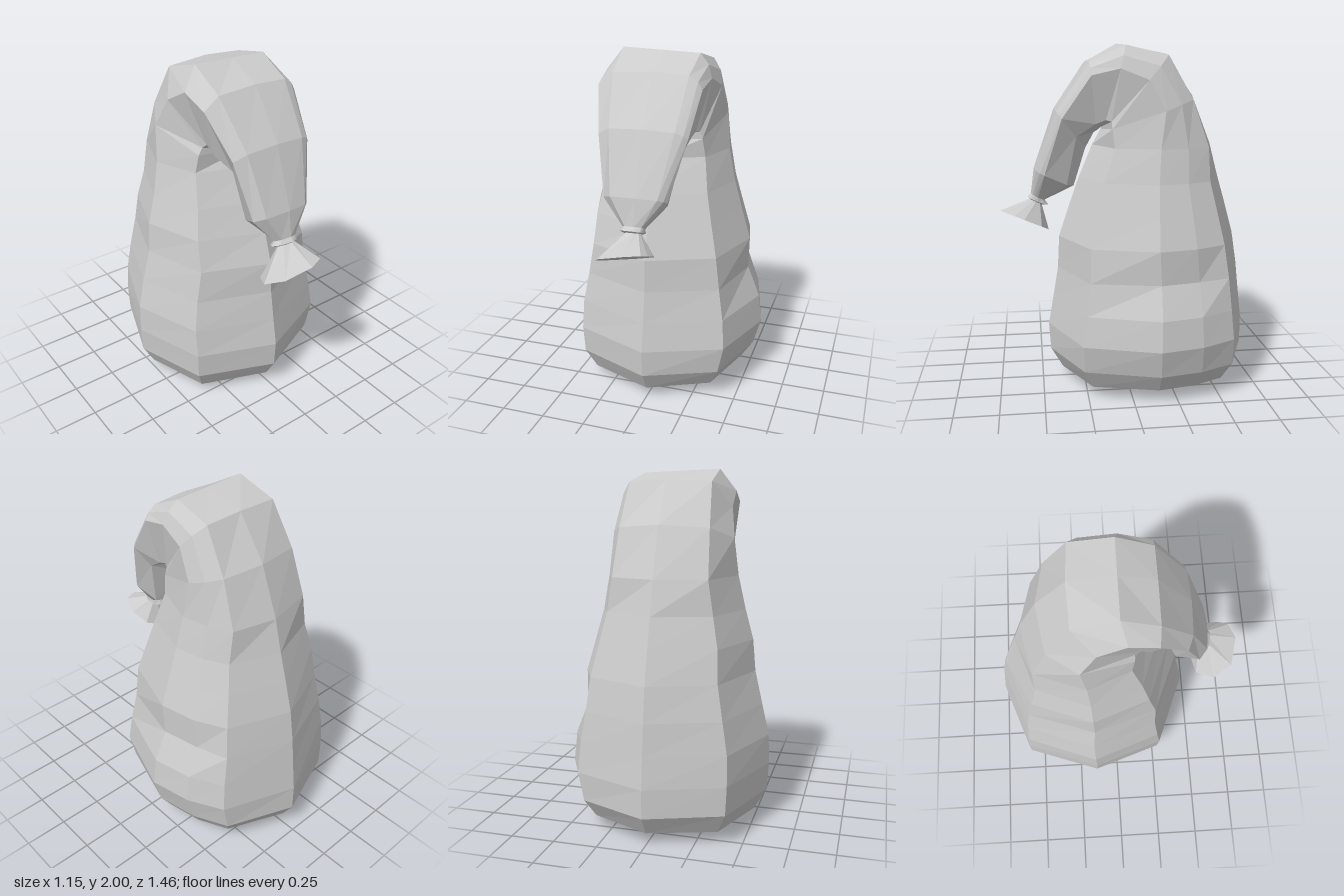
import * as THREE from 'three';

const SIDES = 9;
const material = new THREE.MeshStandardMaterial({ color: 0xcccccc, flatShading: true, side: THREE.DoubleSide });

// One cross-section: inner (front) and outer (back) points as [z, y] and the
// reach to -x and +x. Options: how far from inner to outer the front corners,
// sides and back corners sit, a sideways slant, and a dent in the +x side.
// The +x side has one extra corner between the side and the back corner.
function ring([inner, outer, right, left, options = {}]) {
  const { front = 0.15, middle = 0.5, back = 0.87, slant = 0, dent = 0 } = options;
  const bulge = middle + (back - middle) * 0.55;
  const depths = [0, front, middle, bulge, back, 1, back, middle, front];
  const widths = [0, 0.76, 1, 0.91, 0.73, 0, -0.73, -1, -0.76];
  return depths.map((t, j) => {
    const x = widths[j] * (widths[j] > 0 ? left : right) - (j === 2 || j === 3 ? dent : 0);
    return new THREE.Vector3(
      x,
      inner[1] + (outer[1] - inner[1]) * t + slant * x,
      inner[0] + (outer[0] - inner[0]) * t
    );
  });
}

// Skin a row of cross-sections, with optional centre points closing the ends.
function loft(name, sections, startPoint, endPoint) {
  const rings = sections.map(ring);
  const out = [];
  const tri = (...corners) => corners.forEach((p) => out.push(p.x, p.y, p.z));
  for (let i = 0; i < rings.length - 1; i++) {
    for (let j = 0; j < SIDES; j++) {
      const k = (j + 1) % SIDES;
      tri(rings[i][j], rings[i][k], rings[i + 1][k]);
      tri(rings[i][j], rings[i + 1][k], rings[i + 1][j]);
    }
  }
  for (let j = 0; j < SIDES; j++) {
    const k = (j + 1) % SIDES;
    if (startPoint) tri(startPoint, rings[0][k], rings[0][j]);
    if (endPoint) tri(endPoint, rings.at(-1)[j], rings.at(-1)[k]);
  }
  const geometry = new THREE.BufferGeometry();
  geometry.setAttribute('position', new THREE.Float32BufferAttribute(out, 3));
  geometry.computeVertexNormals();
  const mesh = new THREE.Mesh(geometry, material);
  mesh.name = name;
  return mesh;
}

export function createModel() {
  const group = new THREE.Group();
  group.name = 'tiedSack';

  // Full lower part, narrowing upward, with a slight dent on the left side
  const shoulder = [[0.19, 1.42], [-0.51, 1.42], 0.39, 0.34, { back: 0.91 }];
  const body = [
    [[0.38, 0.06], [-0.66, 0.07], 0.5, 0.46, { slant: 0.02 }],
    [[0.45, 0.18], [-0.73, 0.18], 0.57, 0.53],
    [[0.46, 0.34], [-0.73, 0.34], 0.58, 0.575],
    [[0.43, 0.51], [-0.71, 0.51], 0.575, 0.555],
    [[0.4, 0.69], [-0.69, 0.69], 0.535, 0.515, { dent: 0.035 }],
    [[0.39, 0.88], [-0.66, 0.88], 0.49, 0.485],
    [[0.33, 1.06], [-0.61, 1.06], 0.475, 0.43],
    [[0.27, 1.23], [-0.56, 1.23], 0.43, 0.38],
    shoulder,
  ];
  group.add(loft('sackBody', body, new THREE.Vector3(-0.03, 0, -0.15)));

  // Neck of the sack bending over and hanging down in front
  const neck = [[0.47, 1.1], [0.55, 1.14], 0.08, 0.05];
  const fold = [
    shoulder,
    [[0.14, 1.51], [-0.4, 1.7], 0.37, 0.32, { front: 0.08, middle: 0.61, back: 0.92 }],
    [[0.14, 1.52], [-0.23, 1.94], 0.34, 0.3, { front: 0.11, middle: 0.65, back: 0.97 }],
    [[0.15, 1.51], [0.02, 1.99], 0.33, 0.28, { front: 0.15, middle: 0.74, back: 1, slant: -0.04 }],
    [[0.18, 1.49], [0.22, 1.9], 0.32, 0.27, { front: 0.15, middle: 0.8, back: 0.97 }],
    [[0.23, 1.4], [0.41, 1.63], 0.26, 0.24, { front: 0.35, middle: 0.8, back: 0.96 }],
    [[0.3, 1.18], [0.53, 1.29], 0.2, 0.16, { front: 0.2, middle: 0.75, back: 0.95 }],
    neck,
  ];
  group.add(loft('foldedTop', fold));

  // Thin cord around the neck
  const cord = [
    neck,
    [[0.45, 1.07], [0.57, 1.12], 0.1, 0.05],
    [[0.49, 1.07], [0.55, 1.1], 0.06, 0.02],
  ];
  group.add(loft('tie', cord));

  // Flared end of the cloth below the tie
  const flare = [
    [[0.49, 1.08], [0.55, 1.11], 0.06, 0.03],
    [[0.45, 0.92], [0.73, 1.04], 0.21, 0.12, { slant: 0.2 }],
  ];
  group.add(loft('flaredEnd', flare, null, new THREE.Vector3(-0.04, 0.98, 0.59)));

  return group;
}
